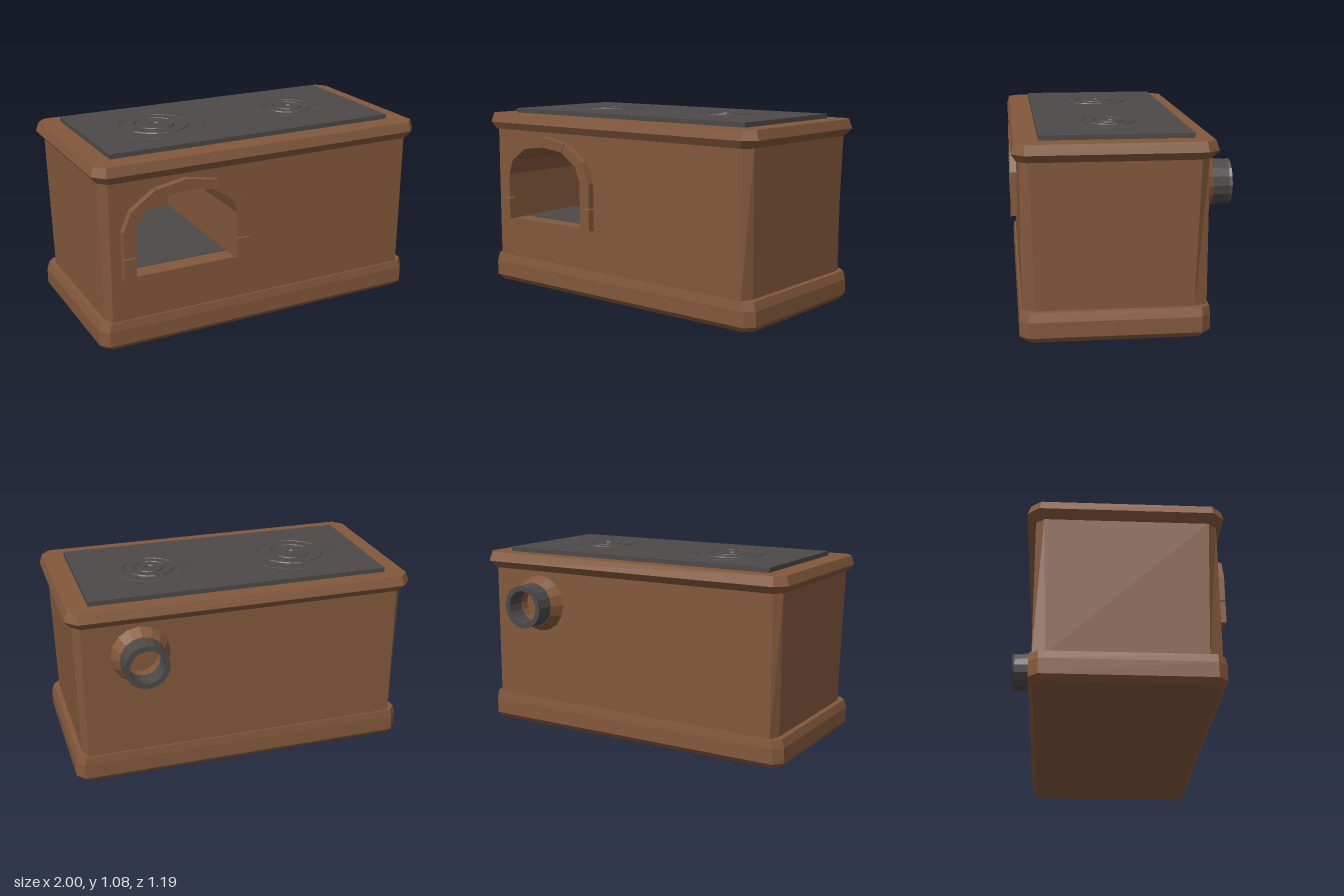
import * as THREE from 'three';

export function createModel() {
  const model = new THREE.Group();
  const clay = new THREE.MeshStandardMaterial({ color: 0x83583c, flatShading: true, side: THREE.DoubleSide });
  clay.name = 'brown clay';
  const iron = new THREE.MeshStandardMaterial({ color: 0x4c4948, flatShading: true, side: THREE.DoubleSide });
  iron.name = 'dark iron';

  function add(name, geometry, material, parent = model) {
    const mesh = new THREE.Mesh(geometry, material);
    mesh.name = name;
    parent.add(mesh);
    return mesh;
  }

  // Rectangle with cut corners at height y; starts along the front edge
  function ring(y, hx, zf, zb, cx, cz) {
    return [[cx - hx, zf], [hx - cx, zf], [hx, zf - cz], [hx, zb + cz],
      [hx - cx, zb], [cx - hx, zb], [-hx, zb + cz], [-hx, zf - cz]].map(([x, z]) => [x, y, z]);
  }

  // Joins equal rings by quads; optionally skips one side and closes the ends
  function loft(rings, { skip = -1, caps = true } = {}) {
    const n = rings[0].length, index = [];
    for (let r = 0; r < rings.length - 1; r++) {
      for (let i = 0; i < n; i++) {
        if (i === skip) continue;
        const j = (i + 1) % n, a = r * n + i, b = r * n + j, c = b + n, d = a + n;
        index.push(a, b, c, a, c, d);
      }
    }
    const top = (rings.length - 1) * n;
    for (let i = 1; caps && i < n - 1; i++) index.push(0, i + 1, i, top, top + i, top + i + 1);
    const g = new THREE.BufferGeometry();
    g.setAttribute('position', new THREE.Float32BufferAttribute(rings.flat(2), 3));
    g.setIndex(index);
    const flat = g.toNonIndexed();
    flat.computeVertexNormals();
    return flat;
  }

  const shapeOf = (pts) => new THREE.Shape(pts.map(([x, y]) => new THREE.Vector2(x, y)));

  // Plinth
  add('plinth', loft([
    ring(0, 0.965, 0.54, -0.415, 0.045, 0.045),
    ring(0.03, 0.99, 0.566, -0.44, 0.045, 0.05),
    ring(0.115, 0.99, 0.566, -0.44, 0.045, 0.05),
    ring(0.163, 0.975, 0.56, -0.435, 0.04, 0.045),
  ]), clay);

  // Body walls, with the front left open for the arched panel
  add('bodyWalls', loft([
    ring(0.16, 0.945, 0.55, -0.425, 0.025, 0.07),
    ring(0.955, 0.96, 0.55, -0.425, 0.04, 0.045),
  ], { skip: 0, caps: false }), clay);

  // Top rim
  add('topRim', loft([
    ring(0.95, 0.965, 0.565, -0.435, 0.045, 0.05),
    ring(0.992, 1, 0.591, -0.472, 0.06, 0.065),
    ring(1.045, 0.983, 0.577, -0.453, 0.05, 0.055),
  ]), clay);

  // Arch outlines: right half, foot to crown, measured from the arch centre
  const archX = -0.49;
  const outer = [[0.37, 0.405], [0.37, 0.68], [0.32, 0.795], [0.18, 0.892], [0, 0.925]];
  const inner = [[0.3, 0.405], [0.3, 0.68], [0.265, 0.767], [0.155, 0.843], [0, 0.862]];
  const opening = [...inner, ...inner.slice(0, -1).reverse().map(([x, y]) => [-x, y])]
    .map(([x, y]) => [x + archX, y]);

  // Front panel with the oven mouth
  const panel = shapeOf([[-0.92, 0.16], [0.92, 0.16], [0.92, 0.955], [-0.92, 0.955]]);
  panel.holes.push(shapeOf(opening));
  add('frontPanel', new THREE.ShapeGeometry(panel), clay).position.z = 0.55;

  // Oven chamber and its iron floor behind the sill
  const backZ = -0.36;
  const at = (z) => opening.map(([x, y]) => [x, y, z]);
  add('ovenChamber', loft([at(0.55), at(backZ)], { caps: false }), clay);
  add('ovenBackWall', new THREE.ShapeGeometry(shapeOf(opening)), clay).position.z = backZ;
  add('ovenFloor', new THREE.BoxGeometry(0.598, 0.004, 0.8), iron).position.set(archX, 0.407, 0.045);

  // Arch bricks, mirrored about the arch centre
  const bricks = [
    [outer[0], [0.37, 0.53], [0.3, 0.53], inner[0]],
    [[0.37, 0.537], outer[1], outer[2], inner[2], inner[1], [0.3, 0.537]],
    [outer[2], outer[3], inner[3], inner[2]],
    [outer[3], outer[4], inner[4], inner[3]],
  ];
  const arch = new THREE.Group();
  arch.name = 'brickArch';
  arch.position.set(archX, 0, 0.548);
  model.add(arch);
  for (const side of [-1, 1]) {
    bricks.forEach((pts, k) => {
      const mx = pts.reduce((s, p) => s + p[0], 0) / pts.length;
      const my = pts.reduce((s, p) => s + p[1], 0) / pts.length;
      const s = k < 2 ? 1 : 0.98; // slim joints between the wedge bricks
      const shape = shapeOf(pts.map(([x, y]) => [side * (mx + (x - mx) * s), my + (y - my) * s]));
      add('archBrick', new THREE.ExtrudeGeometry(shape, { depth: 0.042, bevelEnabled: false }), clay, arch);
    });
  }

  // Iron cooking plate
  add('hotPlate', new THREE.BoxGeometry(1.727, 0.027, 0.81), iron).position.set(-0.002, 1.0575, 0.045);

  // Burners: concentric rings parted by grooves, with a small centre hole
  function burner(name, x, r1, r2, r3) {
    const profile = [[r1, 1.07], [r1 - 0.008, 1.074], [r2 + 0.005, 1.076], [r2, 1.071], [r2 - 0.008, 1.071],
      [r2 - 0.012, 1.078], [r3 + 0.005, 1.079], [r3, 1.072], [r3 - 0.008, 1.072], [r3 - 0.012, 1.08],
      [0.026, 1.08], [0.02, 1.073], [0, 1.073]];
    add(name, new THREE.LatheGeometry(profile.map(([r, y]) => new THREE.Vector2(r, y)), 18), iron)
      .position.set(x, 0, 0.04);
  }
  burner('largeBurner', -0.435, 0.285, 0.2, 0.118);
  burner('smallBurner', 0.43, 0.22, 0.15, 0.088);

  // Flue at the back: clay collar and hollow iron pipe, turned to point backwards
  const flue = new THREE.Group();
  flue.name = 'flue';
  flue.position.set(0.6, 0.757, 0);
  flue.rotation.x = -Math.PI / 2;
  model.add(flue);
  const turned = (pts) => new THREE.LatheGeometry(pts.map(([r, d]) => new THREE.Vector2(r, d)), 16);
  add('flueCollar', turned([[0.168, 0.424], [0.132, 0.49], [0.1, 0.49], [0.1, 0.426]]), clay, flue);
  add('fluePipe', turned([[0.129, 0.488], [0.122, 0.58], [0.127, 0.595], [0.097, 0.595], [0.097, 0.488]]), iron, flue);

  return model;
}
